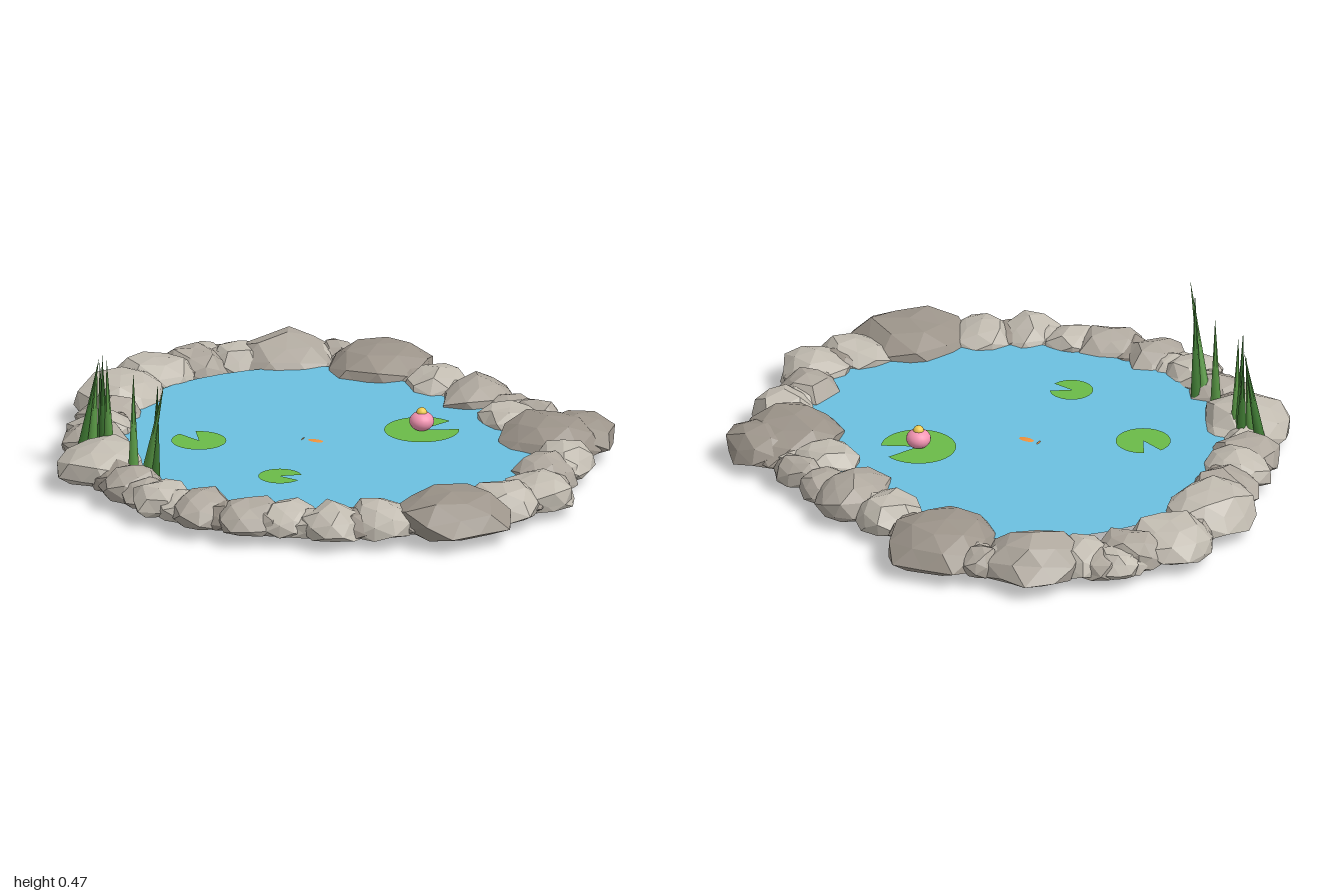
import * as THREE from 'three';

const WATER_Y = 0.088, BASE_Y = 0.04, ROCK_Y = 0.06;
const paint = (color, extra = {}) => {
  const m = new THREE.MeshStandardMaterial(extra);
  m.color.set(color);
  return m;
};
function add(parent, name, geometry, material, x = 0, y = 0, z = 0) {
  const mesh = new THREE.Mesh(geometry, material);
  mesh.name = name;
  mesh.position.set(x, y, z);
  parent.add(mesh);
  return mesh;
}

// Faceted boulder: a jittered icosphere, squashed and cut flat underneath
function rockGeometry(rx, ry, rz, seed) {
  const g = new THREE.IcosahedronGeometry(1, 1);
  const p = g.attributes.position, v = new THREE.Vector3();
  const up = new THREE.Vector3(0, 1, 0);
  for (let i = 0; i < p.count; i++) {
    v.fromBufferAttribute(p, i);
    const key = Math.round(v.x * 50) * 12.99 + Math.round(v.y * 50) * 78.23 + Math.round(v.z * 50) * 37.72;
    const n = Math.abs(Math.sin(key + seed * 4.13) * 43758.5453) % 1;
    v.applyAxisAngle(up, seed * 1.7).multiplyScalar(0.88 + 0.26 * n);
    p.setXYZ(i, v.x * rx, Math.max(v.y * ry, BASE_Y - ROCK_Y), v.z * rz);
  }
  g.computeVertexNormals();
  return g;
}

// Rock ring in order: x, z, radius x, radius z, shade
const ROCKS = [
  [-0.18, -0.74, 0.19, 0.21, 0], [-0.36, -0.80, 0.07, 0.08, 1], [-0.50, -0.69, 0.18, 0.18, 1],
  [-0.65, -0.60, 0.11, 0.11, 2], [-0.77, -0.58, 0.08, 0.07, 2], [-0.76, -0.48, 0.13, 0.11, 1],
  [-0.84, -0.33, 0.16, 0.15, 2], [-0.85, -0.08, 0.15, 0.18, 2], [-0.80, 0.10, 0.12, 0.11, 1],
  [-0.77, 0.24, 0.12, 0.11, 2], [-0.74, 0.36, 0.12, 0.12, 1], [-0.62, 0.56, 0.16, 0.165, 2],
  [-0.43, 0.71, 0.12, 0.11, 1], [-0.28, 0.79, 0.11, 0.11, 2], [-0.11, 0.83, 0.12, 0.12, 1],
  [0.07, 0.83, 0.12, 0.12, 1], [0.21, 0.79, 0.10, 0.11, 2], [0.36, 0.76, 0.12, 0.12, 2],
  [0.49, 0.66, 0.12, 0.13, 2], [0.70, 0.52, 0.20, 0.20, 0], [0.80, 0.32, 0.13, 0.12, 2],
  [0.87, 0.17, 0.13, 0.13, 2], [0.81, 0.00, 0.11, 0.12, 1], [0.81, -0.15, 0.11, 0.12, 2],
  [0.67, -0.32, 0.18, 0.19, 0], [0.74, -0.41, 0.14, 0.13, 0], [0.48, -0.42, 0.12, 0.11, 2],
  [0.53, -0.53, 0.10, 0.06, 1], [0.27, -0.60, 0.13, 0.16, 1], [0.10, -0.65, 0.12, 0.12, 2],
];

// Lily pads: x, z, radius, notch start and end in degrees
const PADS = [
  [0.25, -0.19, 0.13, 27, 67],
  [-0.40, 0.24, 0.095, 122, 160],
  [0.01, 0.45, 0.075, -8, 35],
];

// Reed blades: foot x, z, then tip x, y, z
const REEDS = [
  [-0.74, 0.46, -0.685, 0.42, 0.445], [-0.70, 0.47, -0.69, 0.40, 0.45],
  [-0.66, 0.46, -0.64, 0.46, 0.515], [-0.635, 0.47, -0.63, 0.44, 0.50],
  [-0.67, 0.45, -0.685, 0.40, 0.44],
  [-0.41, 0.65, -0.30, 0.475, 0.735], [-0.385, 0.63, -0.345, 0.455, 0.69],
  [-0.475, 0.61, -0.49, 0.44, 0.58],
];

export function createModel() {
  const pond = new THREE.Group();
  pond.name = 'pond';

  // Water surface, tucked under the stones
  const water = add(pond, 'water', new THREE.CircleGeometry(1, 48),
    paint(0x6cc0e0, { side: THREE.DoubleSide }), 0, WATER_Y, 0.04);
  water.rotation.x = -Math.PI / 2;
  water.scale.set(0.79, 0.76, 1);

  // Stone border, with a smaller stone wedged into each joint
  const border = new THREE.Group();
  border.name = 'rockBorder';
  pond.add(border);
  const shades = [0x9c948a, 0xafa89e, 0xc2bcb1].map(c => paint(c, { flatShading: true }));
  ROCKS.forEach(([x, z, rx, rz, shade], i) => {
    const ry = 0.047 + 0.33 * Math.max(rx, rz);
    add(border, 'rock', rockGeometry(rx, ry, rz, i + 1), shades[shade], x, ROCK_Y, z);
    const [nx, nz] = ROCKS[(i + 1) % ROCKS.length];
    add(border, 'wedgeRock', rockGeometry(0.095, 0.065, 0.095, i + 50), shades[(i + 1) % 3],
      (x + nx) / 2, ROCK_Y, (z + nz) / 2);
  });

  // Notched lily pads
  const leaf = paint(0x6aba48, { side: THREE.DoubleSide });
  const rad = THREE.MathUtils.degToRad;
  for (const [x, z, r, a, b] of PADS) {
    const outline = new THREE.Shape();
    outline.absarc(0, 0, r, rad(b), rad(a + 360), false);
    outline.lineTo(0, 0);
    const g = new THREE.ShapeGeometry(outline, 24);
    g.rotateX(-Math.PI / 2);
    add(pond, 'lilyPad', g, leaf, x, WATER_Y + 0.006, z);
  }

  // Water lily flower
  const flower = new THREE.Group();
  flower.name = 'flower';
  flower.position.set(0.25, 0.126, -0.19);
  pond.add(flower);
  add(flower, 'petals', new THREE.SphereGeometry(0.043, 20, 14), paint(0xf596b4)).scale.y = 0.8;
  add(flower, 'flowerCentre', new THREE.SphereGeometry(0.019, 14, 10), paint(0xf0cc50), 0, 0.03, 0);

  // Tapered reed blades, each aimed from foot to tip
  const up = new THREE.Vector3(0, 1, 0);
  const greens = [paint(0x3f7a33), paint(0x5a9a46)];
  REEDS.forEach(([fx, fz, tx, ty, tz], i) => {
    const dir = new THREE.Vector3(tx - fx, ty - 0.09, tz - fz), h = dir.length();
    const g = new THREE.ConeGeometry(0.019, h, 6);
    g.translate(0, h / 2, 0);
    const blade = add(pond, 'reedBlade', g, greens[i % 2], fx, 0.09, fz);
    blade.quaternion.setFromUnitVectors(up, dir.normalize());
  });

  // Fish whose back just breaks the surface
  const orange = paint(0xf0913a);
  const fish = new THREE.Group();
  fish.name = 'fish';
  fish.position.set(-0.04, 0.046, 0.055);
  pond.add(fish);
  add(fish, 'fishBody', new THREE.SphereGeometry(0.0445, 24, 16), orange).scale.set(2, 1, 1);
  const tail = add(fish, 'fishTail', new THREE.ConeGeometry(0.046, 0.065, 14), orange, -0.08, 0, 0);
  tail.rotation.z = Math.PI / 2;
  tail.scale.z = 0.8;
  return pond;
}
